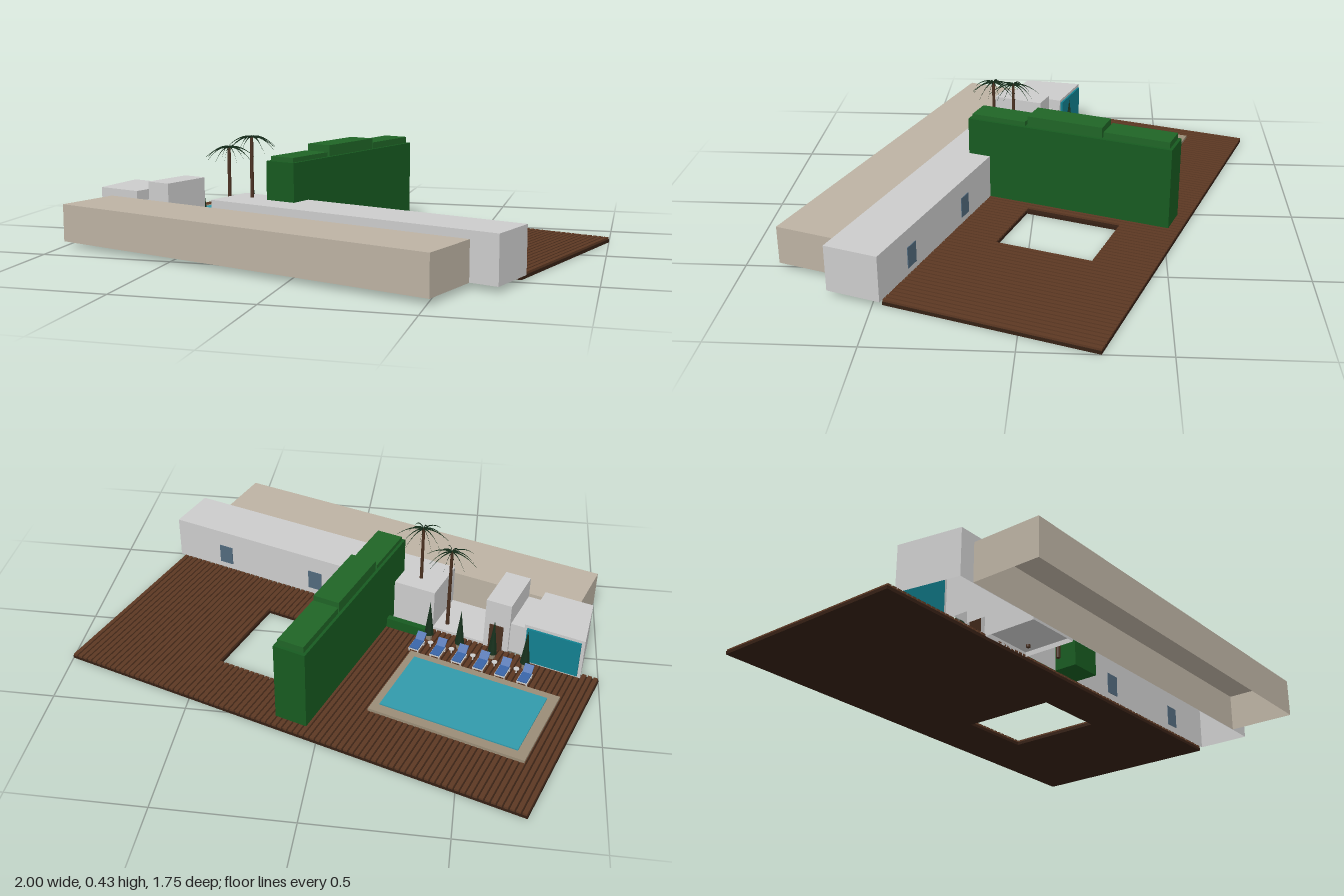
import * as THREE from 'three';
import { mergeGeometries } from 'three/addons/utils/BufferGeometryUtils.js';

const mat = (color) => new THREE.MeshStandardMaterial({ color, side: THREE.DoubleSide, flatShading: true });
const GREY = mat(0xcccccc), TAN = mat(0xbcb2a3), WOOD = mat(0x5c3823), DARKWOOD = mat(0x352014);
const HEDGE = mat(0x175a20), HEDGETOP = mat(0x1f6426), LEAF = mat(0x16301c), WATER = mat(0x3199ab);
const STONE = mat(0x9a8c76), BLUE = mat(0x3a66a8), GLASS = mat(0x51697c), TEAL = mat(0x128090), BARK = mat(0x4a3020);

// Box geometry given by its limits along x, y and z
function boxGeo(x0, x1, y0, y1, z0, z1) {
  return new THREE.BoxGeometry(x1 - x0, y1 - y0, z1 - z0)
    .translate((x0 + x1) / 2, (y0 + y1) / 2, (z0 + z1) / 2);
}

// Box shell without a floor
function shellGeo(...limits) {
  const g = boxGeo(...limits);
  const index = Array.from(g.index.array);
  index.splice(18, 6);
  g.setIndex(index);
  g.clearGroups();
  return g;
}

// Flat frame in the ground plane with a rectangular opening
function frameGeo([x0, x1, z0, z1], [a0, a1, b0, b1], y, height) {
  const rect = (P, l, r, t, b) => {
    const p = new P();
    p.moveTo(l, -t); p.lineTo(r, -t); p.lineTo(r, -b); p.lineTo(l, -b); p.closePath();
    return p;
  };
  const shape = rect(THREE.Shape, x0, x1, z0, z1);
  shape.holes.push(rect(THREE.Path, a0, a1, b0, b1));
  return new THREE.ExtrudeGeometry(shape, { depth: height, bevelEnabled: false })
    .rotateX(-Math.PI / 2).translate(0, y, 0);
}

export function createModel() {
  const model = new THREE.Group();
  const site = new THREE.Group();
  site.name = 'site';
  site.rotation.y = -0.3365;
  model.add(site);
  const add = (name, geo, material, parent = site) => {
    const m = new THREE.Mesh(geo, material);
    m.name = name;
    parent.add(m);
    return m;
  };

  // Deck: base slab with a courtyard opening, and planks running front to back
  const deck = [-0.991, 0.855, -0.585, 0.195], hole = [0.035, 0.327, -0.362, 0.014];
  add('deckBase', frameGeo(deck, hole, 0, 0.012), DARKWOOD);
  const planks = [], count = 84, pitch = (deck[1] - deck[0]) / count;
  for (let i = 0; i < count; i++) {
    const x0 = deck[0] + i * pitch + 0.003, x1 = x0 + pitch - 0.006;
    if (x1 > hole[0] && x0 < hole[1]) {
      planks.push(boxGeo(x0, x1, 0.011, 0.02, deck[2], hole[2]));
      planks.push(boxGeo(x0, x1, 0.011, 0.02, hole[3], deck[3]));
    } else planks.push(boxGeo(x0, x1, 0.011, 0.02, deck[2], deck[3]));
  }
  add('deckPlanks', mergeGeometries(planks), WOOD);

  // Pool
  const pool = [-0.86, -0.329, -0.325, -0.018];
  add('poolRim', frameGeo([-0.898, -0.3, -0.363, 0.016], pool, 0.018, 0.013), STONE);
  add('poolWater', boxGeo(pool[0], pool[1], 0.02, 0.036, pool[2], pool[3]), WATER);

  // Tall hedge with three clipped tops of different height
  add('hedgeBody', boxGeo(-0.143, -0.018, 0.02, 0.338, -0.54, 0.284), HEDGE);
  for (const [z0, z1, top] of [[-0.528, -0.27, 0.363], [-0.264, 0.038, 0.38], [0.05, 0.272, 0.355]])
    add('hedgeTop', boxGeo(-0.132, -0.03, 0.33, top, z0, z1), HEDGETOP);
  add('lowHedge', boxGeo(-0.31, -0.145, 0.02, 0.06, 0.125, 0.15), HEDGE);

  // Buildings
  add('frontBuilding', shellGeo(-0.828, 0.769, 0.02, 0.163, 0.402, 0.658), TAN);
  add('longWing', shellGeo(-0.314, 0.873, 0.02, 0.192, 0.195, 0.4), GREY);
  add('tallRoom', shellGeo(-0.629, -0.528, 0.02, 0.235, 0.19, 0.401), GREY);
  add('linkRoom', shellGeo(-0.694, -0.629, 0.02, 0.15, 0.2, 0.4), GREY);
  add('terrace', shellGeo(-0.528, -0.314, 0.012, 0.03, 0.195, 0.4), GREY);

  // End room, splayed toward its glazed back
  const endRoom = shellGeo(-0.885, -0.694, 0.02, 0.192, 0.165, 0.4);
  const pos = endRoom.attributes.position;
  for (let i = 0; i < pos.count; i++)
    if (pos.getX(i) < -0.8 && pos.getZ(i) < 0.3) pos.setX(i, -0.928);
  add('endRoom', endRoom, GREY);
  add('endRoomGlass', boxGeo(-0.915, -0.705, 0.03, 0.18, 0.157, 0.167), TEAL);
  add('door', boxGeo(-0.605, -0.55, 0.02, 0.13, 0.184, 0.192), BARK);
  for (const x of [0.215, 0.64])
    add('window', boxGeo(x - 0.03, x + 0.03, 0.045, 0.125, 0.192, 0.197), GLASS);

  // Sun loungers with a small table between each pair
  for (let i = 0; i < 6; i++) {
    const lounger = new THREE.Group();
    lounger.name = 'lounger';
    lounger.position.set(-0.747 + i * 0.088, 0.02, 0.066);
    site.add(lounger);
    add('loungerFrame', boxGeo(-0.021, 0.021, 0.012, 0.017, -0.045, 0.02), GREY, lounger);
    add('loungerSeat', boxGeo(-0.018, 0.018, 0.017, 0.022, -0.043, 0.016), BLUE, lounger);
    const back = add('loungerBack', boxGeo(-0.018, 0.018, 0, 0.005, 0, 0.036), BLUE, lounger);
    back.position.set(0, 0.017, 0.015);
    back.rotation.x = -0.7;
    for (const x of [-0.018, 0.018]) for (const z of [-0.04, 0.016])
      add('loungerLeg', boxGeo(x - 0.002, x + 0.002, 0, 0.013, z - 0.002, z + 0.002), GREY, lounger);
    if (i < 5) {
      add('tableTop', new THREE.CylinderGeometry(0.011, 0.011, 0.003, 10).translate(0.044, 0.02, 0.02), GREY, lounger);
      add('tableLeg', new THREE.CylinderGeometry(0.003, 0.003, 0.02, 6).translate(0.044, 0.01, 0.02), GREY, lounger);
    }
  }

  // Slim conical trees in pots
  for (const x of [-0.72, -0.588, -0.453, -0.325]) {
    add('treePot', new THREE.CylinderGeometry(0.015, 0.011, 0.025, 8).translate(x, 0.0325, 0.13), STONE);
    add('treeCrown', new THREE.ConeGeometry(0.019, 0.15, 8).translate(x, 0.12, 0.13), LEAF);
  }

  // Palms: trunk and thin upright blades arching outward
  for (const [x, z, top, spin] of [[-0.357, 0.241, 0.372, 0], [-0.224, 0.269, 0.422, 0.2]]) {
    const palm = new THREE.Group();
    palm.name = 'palm';
    palm.position.set(x, 0, z);
    site.add(palm);
    add('palmTrunk', new THREE.CylinderGeometry(0.006, 0.008, top - 0.02, 8).translate(0, (top + 0.02) / 2, 0), BARK, palm);
    const fronds = [];
    for (let i = 0; i < 12; i++) {
      const reach = i % 2 ? 0.085 : 0.105, drop = i % 2 ? 0.055 : 0.045;
      const blade = new THREE.PlaneGeometry(1, 1, 6, 1);
      const p = blade.attributes.position;
      for (let k = 0; k < p.count; k++) {
        const t = p.getX(k) + 0.5;
        const thick = 0.008 * (1 - t * 0.9) * p.getY(k);
        p.setXYZ(k, t * reach, top + 0.012 * t - (drop + 0.012) * t * t + thick, 0);
      }
      fronds.push(blade.rotateY(spin + i * Math.PI / 6));
    }
    add('palmFronds', mergeGeometries(fronds), LEAF, palm);
  }
  return model;
}
